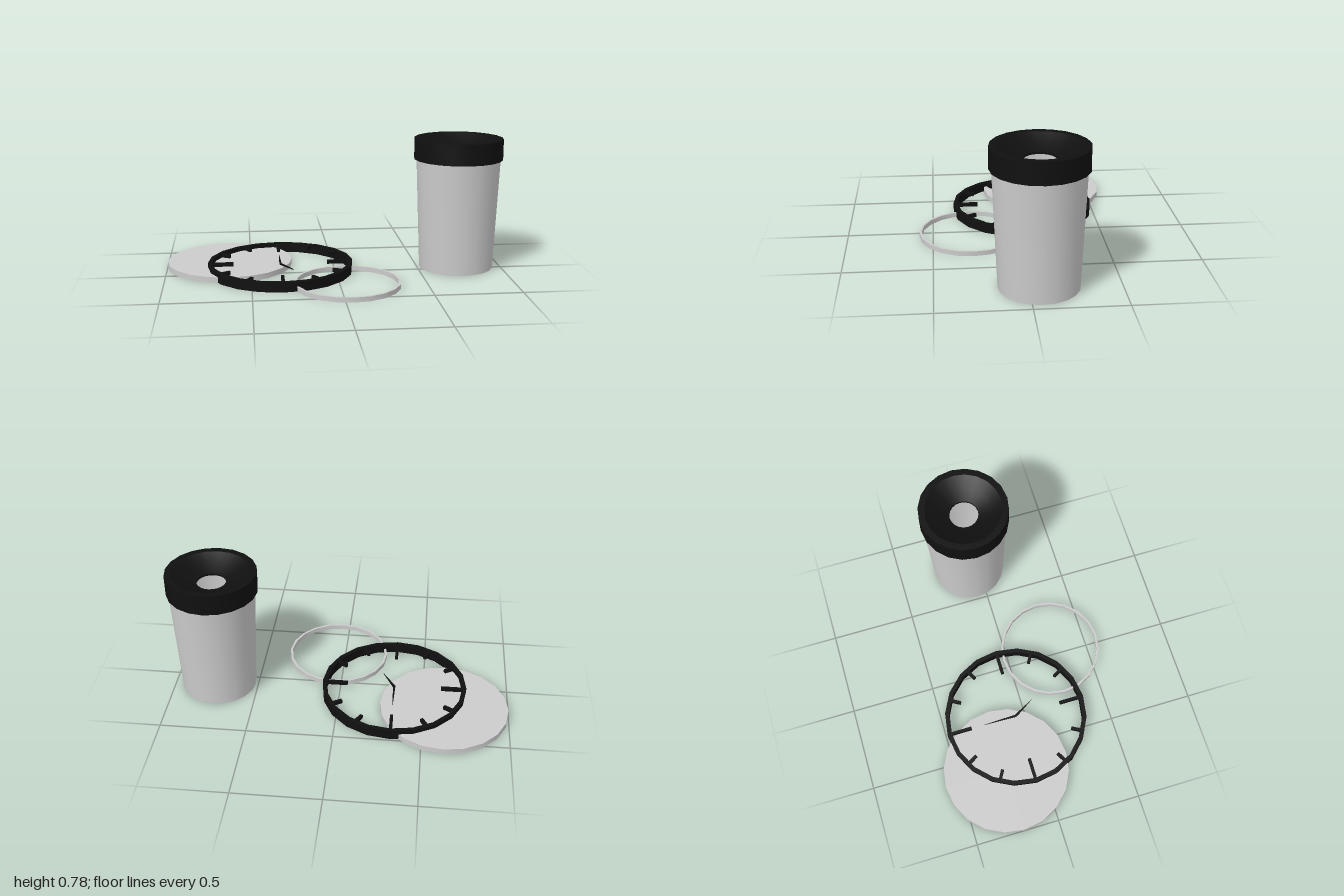
import * as THREE from 'three';
import { toCreasedNormals } from 'three/addons/utils/BufferGeometryUtils.js';

const SIDES = 20;
const grey = new THREE.MeshStandardMaterial({ color: 0xcccccc, side: THREE.DoubleSide });
const black = new THREE.MeshStandardMaterial({ color: 0x101010, side: THREE.DoubleSide });

// Turned part: profile of [radius, y] pairs, outside going up
function turned(name, profile, material) {
  const points = profile.map(([r, y]) => new THREE.Vector2(r, y));
  const geometry = toCreasedNormals(new THREE.LatheGeometry(points, SIDES), 0.5);
  const mesh = new THREE.Mesh(geometry, material);
  mesh.name = name;
  return mesh;
}

// Flat hoop with a rectangular section
function hoop(name, outer, inner, height, material) {
  return turned(name, [[outer, 0], [outer, height], [inner, height], [inner, 0], [outer, 0]], material);
}

// Tapered pointer lying flat, pointing towards -z before it is turned
function hand(name, length, width, angle) {
  const shape = new THREE.Shape();
  shape.moveTo(-width / 2, 0);
  shape.lineTo(width / 2, 0);
  shape.lineTo(0, length);
  shape.closePath();
  const geometry = new THREE.ExtrudeGeometry(shape, { depth: 0.006, bevelEnabled: false });
  geometry.rotateX(-Math.PI / 2);
  const mesh = new THREE.Mesh(geometry, black);
  mesh.name = name;
  mesh.position.y = 0.036;
  mesh.rotation.y = -angle;
  return mesh;
}

export function createModel() {
  const model = new THREE.Group();
  model.name = 'clockPartsAndCup';

  // Open tapered cup with a dished lid
  const cup = new THREE.Group();
  cup.name = 'cup';
  cup.position.set(0.737, 0, -0.057);
  cup.add(turned('cupBody', [[0.221, 0], [0.25, 0.68]], grey));
  cup.add(turned('cupLid', [
    [0.25, 0.66], [0.263, 0.66], [0.263, 0.783], [0.225, 0.783],
    [0.155, 0.74], [0.085, 0.717], [0.085, 0.705], [0.25, 0.705], [0.25, 0.66],
  ], black));
  model.add(cup);

  // Solid back plate
  const plate = turned('backPlate', [[0, 0], [0.375, 0], [0.375, 0.033], [0, 0.033]], grey);
  plate.position.set(-0.625, 0, -0.21);
  model.add(plate);

  // Clock ring with hour marks and hands
  const clock = new THREE.Group();
  clock.name = 'clockFace';
  clock.position.set(-0.325, 0, -0.06);
  clock.add(hoop('clockRing', 0.43, 0.405, 0.058, black));
  for (let i = 0; i < 12; i++) {
    const inner = i % 3 === 0 ? 0.28 : 0.345;
    const length = 0.412 - inner;
    const geometry = new THREE.BoxGeometry(0.018, 0.022, length);
    geometry.translate(0, 0.045, -(inner + length / 2));
    const mark = new THREE.Mesh(geometry, black);
    mark.name = 'hourMark' + (i + 1);
    mark.rotation.y = (i * Math.PI) / 6;
    clock.add(mark);
  }
  clock.add(hand('minuteHand', 0.2, 0.014, 0));
  clock.add(hand('hourHand', 0.14, 0.016, Math.PI * 5 / 6));
  model.add(clock);

  // Thin trim ring
  const trim = hoop('trimRing', 0.305, 0.292, 0.028, grey);
  trim.position.set(0.042, 0, 0.275);
  model.add(trim);

  return model;
}
